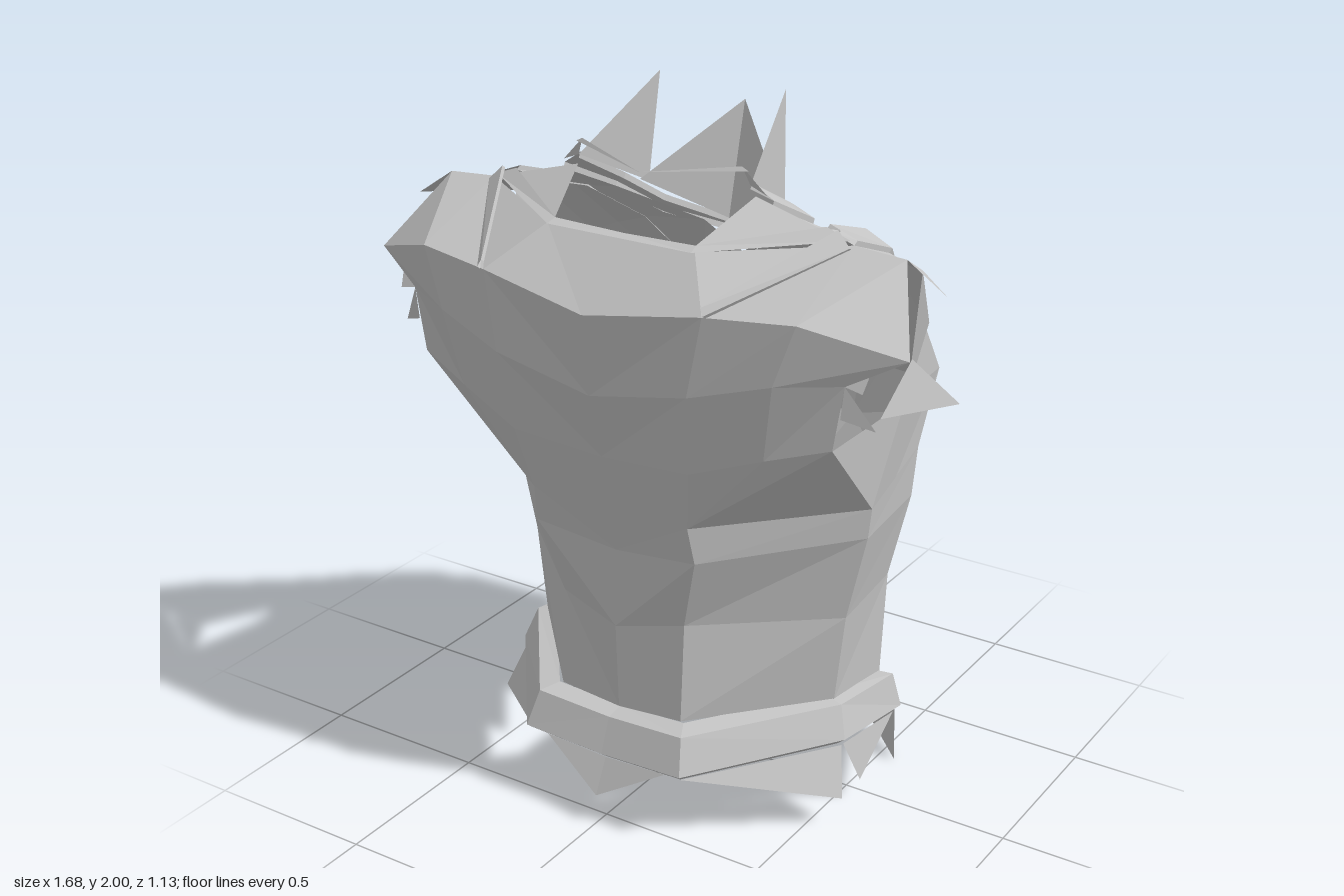
import * as THREE from 'three';

const cloth = new THREE.MeshStandardMaterial({ color: 0xc4c4c4, flatShading: true, side: THREE.DoubleSide });
cloth.name = 'grey cloth';

// Triangles between successive rows of points
function grid(rows) {
  const tris = [];
  for (let r = 0; r < rows.length - 1; r++) {
    for (let c = 0; c < rows[r].length - 1; c++) {
      const a = rows[r][c], b = rows[r][c + 1], d = rows[r + 1][c], e = rows[r + 1][c + 1];
      tris.push([a, b, e], [a, e, d]);
    }
  }
  return tris;
}

const shift = (pts, v) => pts.map(p => p.map((n, i) => n + v[i]));
const column = (rows, i) => rows.map(r => r[i]);

// Raised strip between two edge lines, with side walls
function strap(inner, outer, lift) {
  return grid([inner, shift(inner, lift), shift(outer, lift), outer]);
}

// One mesh holding the triangles and their mirror image
function addPart(group, name, tris) {
  const pos = [];
  for (const t of tris) {
    for (const p of t) pos.push(...p);
    for (const p of [t[0], t[2], t[1]]) pos.push(-p[0], p[1], p[2]);
  }
  const geo = new THREE.BufferGeometry();
  geo.setAttribute('position', new THREE.Float32BufferAttribute(pos, 3));
  geo.computeVertexNormals();
  const mesh = new THREE.Mesh(geo, cloth);
  mesh.name = name;
  group.add(mesh);
}

export function createModel() {
  const g = new THREE.Group();
  g.name = 'tornTunic';

  // Waist: half rings from the +z centre round to the -z centre
  addPart(g, 'waist', grid([
    [[0, .32, .43], [.2, .33, .42], [.5, .33, .09], [.49, .28, -.2], [.3, .21, -.38], [.1, .18, -.42], [0, .18, -.42]],
    [[0, .58, .44], [.2, .62, .4], [.53, .6, .09], [.5, .6, -.21], [.32, .57, -.4], [.1, .54, -.44], [0, .54, -.44]],
    [[0, .81, .43], [.26, .84, .44], [.59, .86, .09], [.55, .85, -.24], [.35, .81, -.43], [.13, .8, -.475], [0, .8, -.455]],
    [[0, .91, .45], [.25, .95, .46], [.6, .95, .09], [.56, 1, -.25], [.36, .97, -.5], [.2, .92, -.53], [0, .96, -.49]],
  ]));

  // Broad panel on the +z side, up to the neck edge and out to the sleeve flap
  const panel = [
    [[0, .91, .45], [.25, .95, .46], [.25, .95, .46], [.25, .95, .46]],
    [[0, 1.11, .49], [.28, 1.13, .5], [.48, 1.2, .46], [.65, 1.25, .41]],
    [[0, 1.3, .54], [.3, 1.36, .54], [.52, 1.42, .49], [.68, 1.43, .41]],
    [[0, 1.53, .565], [.34, 1.58, .53], [.58, 1.59, .48], [.83, 1.51, .36]],
    [[0, 1.69, .39], [.23, 1.69, .39], [.57, 1.71, .18], [.72, 1.7, .18]],
  ];
  addPart(g, 'upperPanel', grid(panel));

  // Shoulder and chest: columns run from neck to arm
  const chest = [
    [[.33, 1.77, .18], [.4, 1.73, .18], [.49, 1.74, .18], [.57, 1.71, .18], [.72, 1.7, .18]],
    [[.3, 1.67, -.03], [.38, 1.66, -.03], [.48, 1.67, -.03], [.56, 1.63, -.03], [.66, 1.6, -.03]],
    [[.1, 1.57, -.17], [.28, 1.55, -.17], [.42, 1.5, -.2], [.51, 1.46, -.2], [.59, 1.38, -.2]],
    [[0, 1.44, -.27], [.2, 1.36, -.33], [.32, 1.3, -.37], [.42, 1.25, -.38], [.56, 1.2, -.36]],
    [[0, 1.2, -.42], [.12, 1.15, -.49], [.22, 1.12, -.53], [.3, 1.1, -.52], [.45, 1.1, -.49]],
    [[0, .96, -.49], [.07, .946, -.504], [.13, .934, -.516], [.2, .92, -.53], [.36, .97, -.5]],
  ];
  const lapelTip = [.17, .89, -.55];
  addPart(g, 'chest', grid(chest));
  addPart(g, 'chestStrap', strap(
    [...column(chest, 2), lapelTip], [...column(chest, 3), lapelTip], [0, .008, -.018]));
  addPart(g, 'innerSeam', strap(
    column(chest, 1), shift(column(chest, 1), [.025, -.005, 0]), [0, .005, -.006]));

  // Sides below and beside the armhole
  const armFront = [.62, 1.22, .1], armBack = [.63, 1.25, -.03];
  const side = [.6, .95, .09], sideBack = [.56, 1, -.25];
  addPart(g, 'sidePanel', [
    [[.25, .95, .46], side, panel[1][3]],
    [side, armFront, panel[1][3]],
    ...grid([[side, [.58, .975, -.08], sideBack, chest[5][4]], [armFront, armBack, chest[3][4], chest[4][4]]]),
    [armBack, chest[2][4], chest[3][4]],
    [armBack, chest[1][4], chest[2][4]],
  ]);

  // Shoulder strap running down the +z side
  addPart(g, 'shoulderStrap', strap(
    [[.34, 1.6, .525], [.53, 1.74, .18]], [[.35, 1.58, .53], [.57, 1.7, .19]], [0, .008, .012]));

  // Hem of the neckline and the fold inside it
  addPart(g, 'neckHem', grid([
    [[0, 1.695, .37], [.22, 1.7, .37], [.49, 1.745, .18]],
    [[0, 1.69, .4], [.225, 1.69, .4], [.56, 1.72, .18]],
  ]));
  addPart(g, 'neckFold', [[[.22, 1.7, .37], [.48, 1.735, .18], [.28, 1.79, .18]]]);

  // Collar band and its toggle
  addPart(g, 'collar', strap(
    [[.27, 1.81, .19], [.27, 1.7, -.02], [.19, 1.63, -.1], [.03, 1.56, -.21], [0, 1.555, -.22]],
    [[.33, 1.77, .18], [.32, 1.66, -.05], [.22, 1.58, -.14], [.03, 1.52, -.25], [0, 1.515, -.26]], [0, .015, -.008]));
  const toggle = new THREE.Mesh(new THREE.CylinderGeometry(.04, .025, .11, 6), cloth);
  toggle.name = 'toggle';
  toggle.position.set(0, 1.53, -.235);
  toggle.rotation.x = .6;
  g.add(toggle);

  // Torn points round the neck
  addPart(g, 'neckTears', [
    [[.27, 1.82, .19], [.2, 2, -.1], [.22, 1.69, -.07]],
    [[0, 1.92, -.22], [.23, 1.7, -.04], [0, 1.6, -.14]],
    [[.27, 1.82, .19], [.25, 1.87, .2], [.32, 1.8, .19]],
    [[.27, 1.86, .2], [.25, 1.87, .2], [0, 1.84, .3]],
  ]);

  // Torn points round the armholes
  addPart(g, 'armholeTears', [
    [panel[4][3], [.84, 1.62, .18], chest[1][4]],
    [panel[2][3], [.75, 1.31, .37], [.67, 1.34, .41]],
    [[.74, 1.48, .38], [.73, 1.42, .41], panel[2][3]],
    [[.64, 1.35, -.03], [.78, 1.25, -.04], armFront],
    [chest[1][4], [.67, 1.45, -.06], armBack],
  ]);

  // Loose belt: top and bottom outer lines, dipping and tapering toward -z
  const top = [[0, .31, .48], [.24, .32, .48], [.53, .33, .1], [.53, .28, -.21], [.25, .13, -.41], [0, .03, -.43]];
  const low = [[0, .21, .52], [.26, .22, .52], [.56, .24, .13], [.55, .17, -.23], [.27, .05, -.45], [0, .02, -.46]];
  const inward = (pts, s, sy) => pts.map(p => [p[0] * s, p[1] * sy, p[2] * s]);
  addPart(g, 'belt', grid([inward(top, .88, 1.03), top, low, inward(low, .95, .9)]));

  // Ragged hem under the belt
  addPart(g, 'hemTears', [
    [[0, .19, .5], [.2, .2, .5], [0, .09, .55]],
    [[.25, .2, .5], [.55, .22, .13], [.59, .09, .19]],
    [[.55, .22, .12], [.54, .16, -.2], [.57, .07, .05]],
    [[.54, .17, -.21], [.55, 0, -.2], [.27, .05, -.44]],
  ]);
  return g;
}
